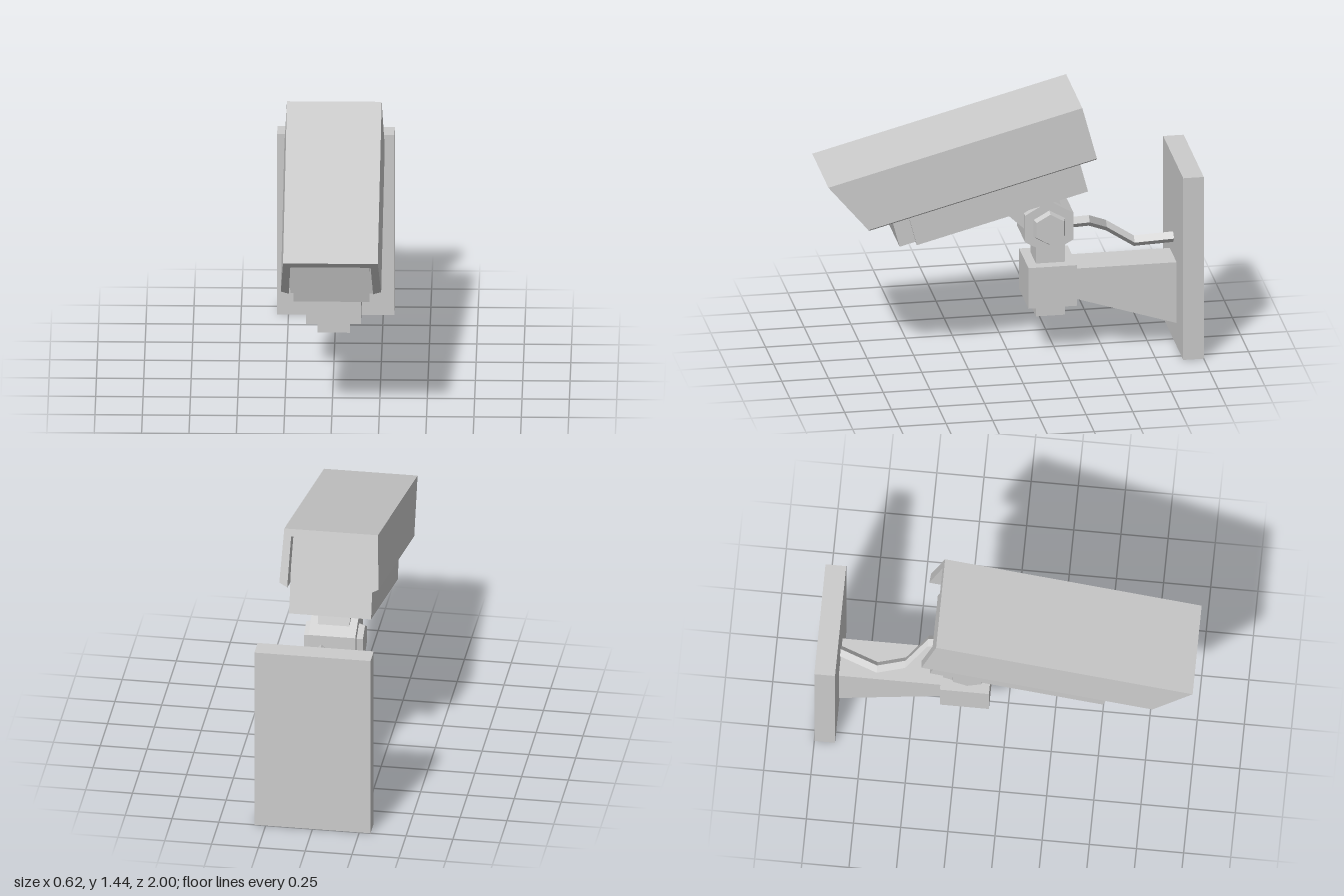
import * as THREE from 'three';

const material = new THREE.MeshStandardMaterial({ color: 0xcccccc, flatShading: true });

function add(parent, name, geometry) {
  const mesh = new THREE.Mesh(geometry, material);
  mesh.name = name;
  parent.add(mesh);
  return mesh;
}

// Box given by its limits on each axis
function box(x0, x1, y0, y1, z0, z1) {
  return new THREE.BoxGeometry(x1 - x0, y1 - y0, z1 - z0)
    .translate((x0 + x1) / 2, (y0 + y1) / 2, (z0 + z1) / 2);
}

function outline(points) {
  return new THREE.Shape(points.map(([a, b]) => new THREE.Vector2(a, b)));
}

// Side profile given as [z, y], extruded across x
function sideProfile(points, halfWidth) {
  return new THREE.ExtrudeGeometry(outline(points.map(([z, y]) => [-z, y])), { depth: halfWidth * 2, bevelEnabled: false })
    .translate(0, 0, -halfWidth).rotateY(Math.PI / 2);
}

// Hexagonal prism along x with a corner pointing up
function hexPrism(rPlus, rMinus, length) {
  return new THREE.CylinderGeometry(rPlus, rMinus, length, 6)
    .rotateZ(-Math.PI / 2).rotateX(Math.PI / 2);
}

// Cable with a diamond section following a few points, front to back
function cableGeometry(points) {
  const n = points.length - 1;
  const geometry = new THREE.CylinderGeometry(0.03, 0.03, 1, 4, n);
  const pos = geometry.attributes.position;
  for (let i = 0; i < pos.count; i++) {
    const [px, py, pz] = points[Math.round((0.5 - pos.getY(i)) * n)];
    pos.setXYZ(i, px + pos.getX(i), py - pos.getZ(i), pz);
  }
  geometry.computeVertexNormals();
  return geometry;
}

// Flared U-shaped hood whose front end is cut at a slant
function hoodGeometry() {
  const half = [[0.25, 0], [0.265, -0.295], [0.222, -0.318], [0.212, -0.04]];
  const section = [...half, ...half.map(([x, y]) => [-x, y]).reverse()];
  const geometry = new THREE.ExtrudeGeometry(outline(section), { depth: 1.407, bevelEnabled: false });
  const pos = geometry.attributes.position;
  for (let i = 0; i < pos.count; i++) {
    if (pos.getZ(i) > 0.7) pos.setZ(i, pos.getZ(i) + 0.478 * pos.getY(i));
  }
  geometry.computeVertexNormals();
  return geometry;
}

export function createModel() {
  const model = new THREE.Group();
  model.name = 'securityCamera';

  // Wall mount
  const mount = new THREE.Group();
  mount.name = 'wallMount';
  model.add(mount);
  add(mount, 'wallPlate', box(-0.31, 0.31, 0, 1.03, -1, -0.89));
  add(mount, 'bracketArm', sideProfile([[-0.9, 0.127], [-0.34, 0.307], [-0.34, 0.475], [-0.9, 0.475]], 0.105));
  add(mount, 'bracketBlock', box(-0.145, 0.145, 0.28, 0.51, -0.35, -0.09));
  add(mount, 'post', box(-0.085, 0.085, 0.21, 0.7, -0.295, -0.14));

  // Hexagonal swivel joint with a bolt on each side
  const joint = new THREE.Group();
  joint.name = 'swivelJoint';
  joint.position.set(0, 0.725, -0.205);
  model.add(joint);
  add(joint, 'hub', hexPrism(0.15, 0.15, 0.25));
  for (const side of [1, -1]) {
    const bolt = add(joint, side > 0 ? 'leftBolt' : 'rightBolt', hexPrism(0.085, 0.1, 0.04));
    bolt.position.x = side * 0.137;
    if (side < 0) bolt.rotation.y = Math.PI;
  }
  add(model, 'neck', sideProfile([[0.07, 0.85], [-0.1, 0.69], [-0.28, 0.76], [-0.285, 0.8], [-0.24, 0.94]], 0.085));

  add(model, 'cable', cableGeometry([
    [0.06, 0.72, -0.3], [0.045, 0.72, -0.43], [-0.06, 0.645, -0.54], [-0.065, 0.545, -0.69], [0, 0.58, -0.9],
  ]));

  // Tilted camera, measured from the top rear edge of its hood
  const camera = new THREE.Group();
  camera.name = 'cameraHead';
  camera.position.set(0, 1.44, -0.36);
  camera.rotation.x = 0.259;
  model.add(camera);
  add(camera, 'hood', hoodGeometry());
  add(camera, 'housing', box(-0.219, 0.219, -0.48, -0.035, 0.09, 1.038));
  add(camera, 'frontWindow', box(-0.2, 0.2, -0.467, -0.13, 1.0, 1.127));

  return model;
}
